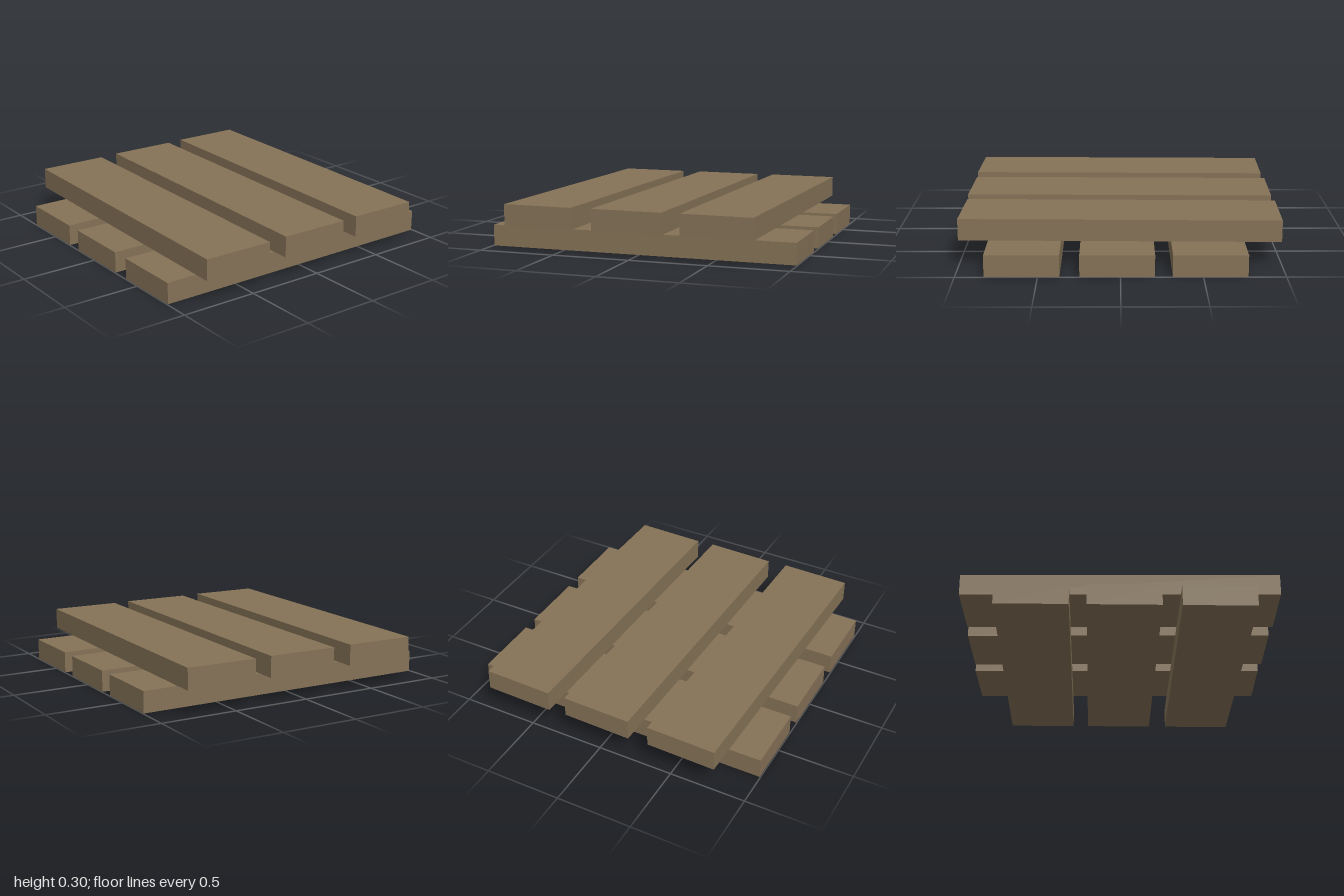
import * as THREE from 'three';

export function createModel() {
  const group = new THREE.Group();
  const wood = new THREE.MeshStandardMaterial({ color: 0x857257 });
  wood.name = 'weathered wood';

  const length = 1.99, width = 0.456, thickness = 0.136;
  const plank = new THREE.BoxGeometry(length, thickness, width);

  function addPlank(name, x, y, z, turn) {
    const mesh = new THREE.Mesh(plank, wood);
    mesh.name = name;
    mesh.position.set(x, y, z);
    mesh.rotation.y = turn;
    group.add(mesh);
  }

  // Lower layer: three planks running front to back
  [-0.543, 0.02, 0.596].forEach((x, i) =>
    addPlank(`lowerPlank${i + 1}`, x, thickness / 2, 0, Math.PI / 2));

  // Upper layer: three planks across, slightly skewed, floating just above
  [-0.572, -0.002, 0.584].forEach((z, i) =>
    addPlank(`upperPlank${i + 1}`, 0, 0.232, z, -0.0205));

  return group;
}
